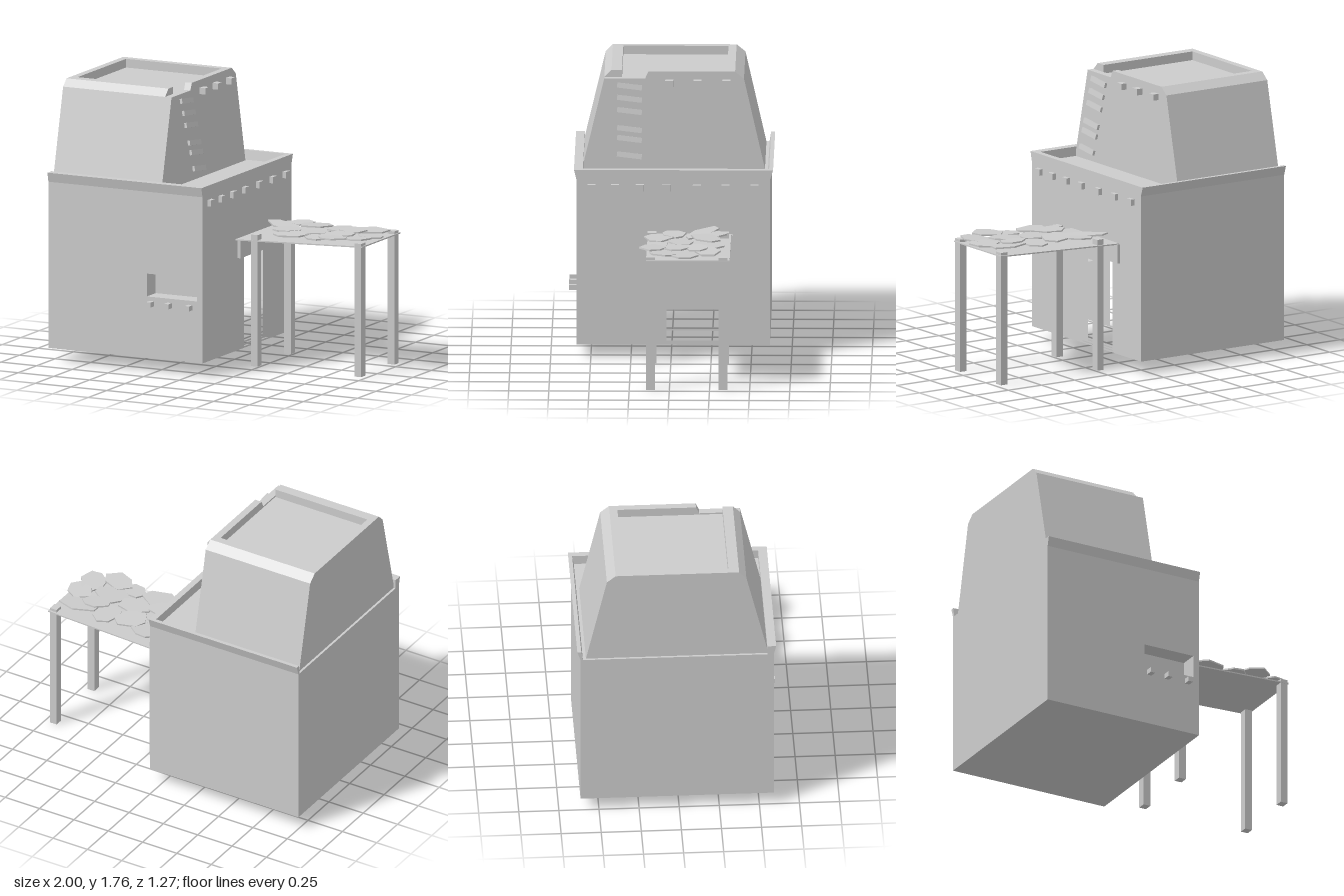
import * as THREE from 'three';

const material = new THREE.MeshStandardMaterial({ color: 0xcccccc, flatShading: true });

export function createModel() {
  const model = new THREE.Group();

  function add(name, geometry, x = 0, y = 0, z = 0, parent = model) {
    const mesh = new THREE.Mesh(geometry, material);
    mesh.name = name;
    mesh.position.set(x, y, z);
    parent.add(mesh);
    return mesh;
  }
  function group(name) {
    const g = new THREE.Group();
    g.name = name;
    model.add(g);
    return g;
  }
  // Extrudes a (z, y) outline along x from x0 to x1
  const toPoints = (pts) => pts.map(([z, y]) => new THREE.Vector2(-z, y));
  function slab(name, parent, x0, x1, outline, hole) {
    const shape = new THREE.Shape(toPoints(outline));
    if (hole) shape.holes.push(new THREE.Path(toPoints(hole)));
    const geo = new THREE.ExtrudeGeometry(shape, { depth: x1 - x0, bevelEnabled: false });
    geo.rotateY(Math.PI / 2);
    add(name, geo, x0, 0, 0, parent);
  }
  const rect = (z0, z1, y0, y1) => [[z0, y0], [z1, y0], [z1, y1], [z0, y1]];

  // Lower storey: hollow, with flared parapet, front window and side doorway
  const house = group('lowerStorey');
  const windowNotch = [[0.59, 0.475], [0.47, 0.475], [0.47, 0.62], [0.59, 0.62]];
  const roofChannel = [[0.55, 1.2], [0.55, 1.14], [-0.6, 1.14], [-0.61, 1.2]];
  const section = (notched, open) => [
    [0.59, 0.085], ...(notched ? windowNotch : []), [0.59, 1.14], [0.605, 1.2],
    ...(open ? roofChannel : []),
    [-0.635, 1.2], [-0.615, 1.14], [-0.615, 0.085],
  ];
  const door = rect(-0.3, 0.03, 0.095, 0.67);
  const room = rect(-0.42, 0.3, 0.095, 0.85);
  slab('rearWall', house, -1, -0.9, section(false, true));
  slab('roomWalls', house, -0.9, -0.31, section(false, true), room);
  slab('windowWalls', house, -0.31, 0, section(true, true), room);
  slab('doorJamb', house, 0, 0.04, section(true, true), door);
  slab('doorWall', house, 0.04, 0.08, section(false, false), door);
  add('doorLintel', new THREE.BoxGeometry(0.04, 0.12, 0.5), 0.08, 0.73, -0.135);

  // Upper storey with sunken roof and a gap in the rim above the ladder
  const tower = group('upperStorey');
  const towerSection = (cut) => [
    [-0.583, 1.13], [0.56, 1.13], [0.42, 1.715], ...cut, [-0.395, 1.76], [-0.45, 1.715],
  ];
  const sunken = [[0.375, 1.76], [0.31, 1.76], [0.31, 1.705], [-0.345, 1.705], [-0.345, 1.76]];
  slab('towerRearRim', tower, -0.985, -0.94, towerSection([[0.375, 1.76]]));
  slab('towerCore', tower, -0.94, -0.27, towerSection(sunken));
  slab('towerDoorRim', tower, -0.27, -0.225, towerSection([[0.165, 1.715], [0.145, 1.76]]));

  // Projecting beam ends
  const beams = group('beamEnds');
  const beam = new THREE.BoxGeometry(0.06, 0.04, 0.05);
  for (const z of [0.495, 0.35, 0.195, 0.03, -0.16, -0.34, -0.52]) {
    add('lowerBeam', beam, 0.075, 1.09, z, beams);
  }
  for (const z of [0.015, -0.16, -0.34]) add('upperBeam', beam, -0.215, 1.69, z, beams);
  for (const x of [-0.275, -0.15, -0.005]) {
    add('windowPeg', new THREE.BoxGeometry(0.032, 0.032, 0.07), x, 0.433, 0.603, beams);
  }

  // Ladder rungs leaning on the upper storey
  const ladder = group('ladder');
  for (const y of [1.67, 1.595, 1.52, 1.41, 1.35, 1.25]) {
    const rung = add('rung', new THREE.BoxGeometry(0.016, 0.032, 0.155),
      -0.2 + (1.67 - y) * 0.21, y, 0.262, ladder);
    rung.rotation.set(-0.12, 0, 0.21);
  }

  // Awning: sloping sheet on four posts
  const sheet = add('awningSheet', new THREE.BoxGeometry(0.89, 0.008, 0.52), 0.525, 0.808, -0.115);
  sheet.rotation.z = 0.038;
  for (const [x, top] of [[0.212, 0.835], [0.938, 0.845]]) {
    for (const z of [0.117, -0.335]) {
      add('awningPost', new THREE.BoxGeometry(0.048, top, 0.055), x, top / 2, z);
    }
  }

  // Irregular thatch plates lying on the awning: [x, z, half length, half width, turn]
  let seed = 7;
  const rand = () => (seed = (seed * 16807) % 2147483647) / 2147483647;
  const plates = [
    [0.25, -0.2, 0.16, 0.07, -0.5], [0.32, -0.29, 0.085, 0.07, 0],
    [0.45, -0.22, 0.11, 0.09, 0.9], [0.62, -0.24, 0.1, 0.085, 1.2],
    [0.82, -0.24, 0.13, 0.08, 0.2], [0.75, -0.17, 0.09, 0.07, 0],
    [0.91, -0.09, 0.1, 0.07, -0.6], [0.89, 0.03, 0.11, 0.08, -1],
    [0.74, 0.11, 0.1, 0.075, -0.4], [0.61, 0.08, 0.08, 0.07, 0.3],
    [0.43, 0.07, 0.11, 0.095, 0], [0.35, -0.02, 0.09, 0.07, 0.6],
    [0.52, -0.06, 0.12, 0.08, 0.4], [0.71, -0.04, 0.11, 0.09, 0.2],
  ];
  const thatch = group('thatchPlates');
  plates.forEach(([x, z, rx, rz, turn], i) => {
    const sides = 6 + (i % 2);
    const outline = [];
    for (let k = 0; k < sides; k++) {
      const a = ((k + 0.5 * rand()) / sides) * Math.PI * 2;
      const r = 0.9 + 0.25 * rand();
      outline.push(new THREE.Vector2(Math.cos(a) * rx * r, Math.sin(a) * rz * r));
    }
    const geo = new THREE.ExtrudeGeometry(new THREE.Shape(outline), { depth: 0.01, bevelEnabled: false });
    geo.rotateX(-Math.PI / 2).rotateY(turn);
    const plate = add('plate', geo, x, 0.832 + 0.012 * x + 0.006 * (i % 3), z, thatch);
    plate.rotation.set((rand() - 0.5) * 0.12, 0, (rand() - 0.3) * 0.1);
  });

  return model;
}
